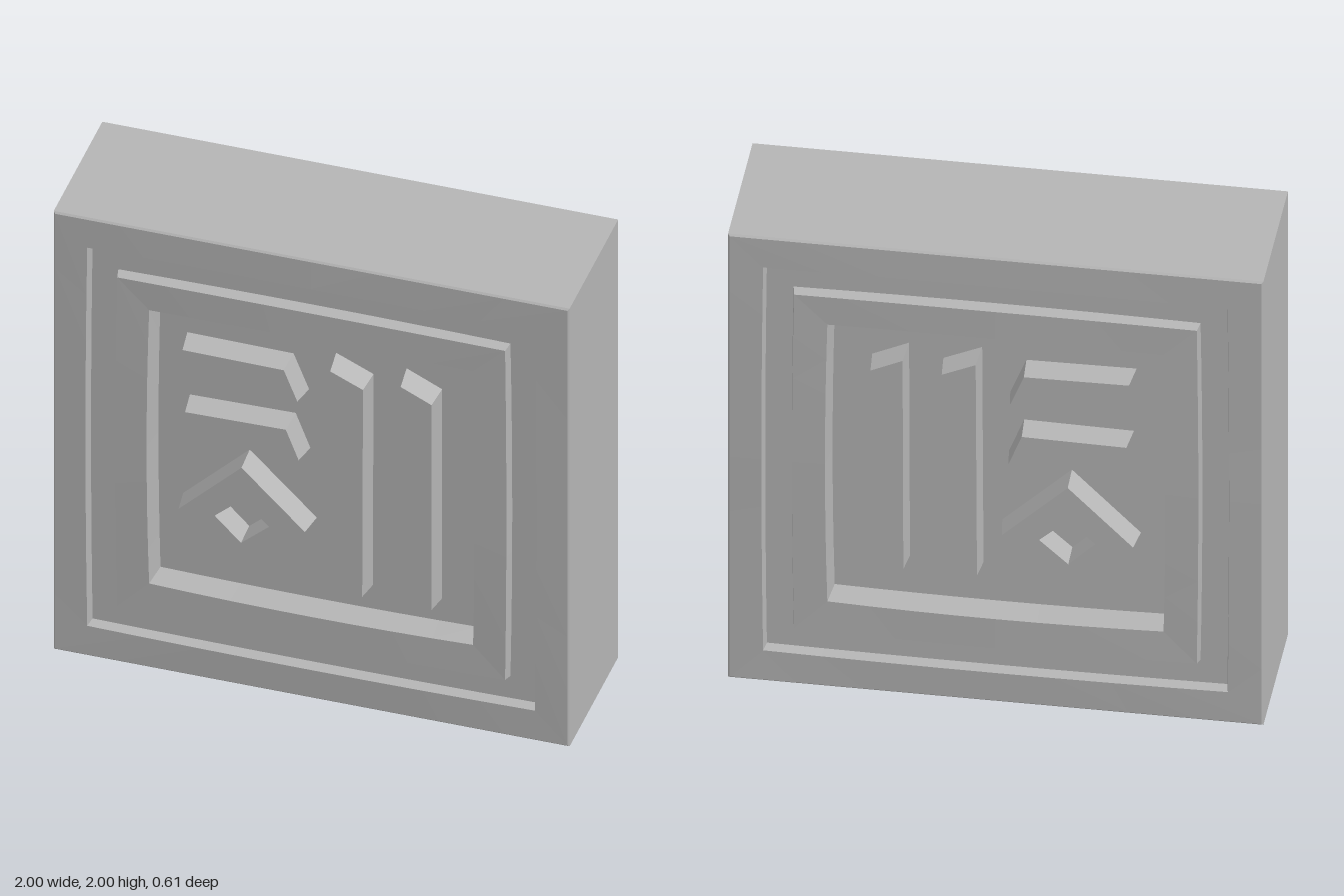
import * as THREE from 'three';

const stone = new THREE.MeshStandardMaterial({ color: 0xb4b4b4 });
stone.name = 'grey stone';

// Upright rectangle, counter-clockwise, with sides bowed outwards
function bowedRect(w, y0, y1, bow = 0, n = 8) {
  const corners = [[-w, y0], [w, y0], [w, y1], [-w, y1]];
  const normals = [[0, -1], [1, 0], [0, 1], [-1, 0]];
  const pts = [];
  corners.forEach((a, k) => {
    const b = corners[(k + 1) % 4];
    for (let i = 0; i < n; i++) {
      const t = i / n, rise = 4 * t * (1 - t);
      pts.push({
        x: a[0] + (b[0] - a[0]) * t + normals[k][0] * bow * rise,
        y: a[1] + (b[1] - a[1]) * t + normals[k][1] * bow * rise,
        rise,
      });
    }
  });
  return pts;
}

const poly = (...p) => p.map(([x, y]) => ({ x, y, rise: 0 }));

// Moves every edge of a convex counter-clockwise polygon inwards by d
function inset(p, d) {
  const n = p.length;
  const dir = (a, b) => {
    const l = Math.hypot(b.x - a.x, b.y - a.y);
    return { x: (b.x - a.x) / l, y: (b.y - a.y) / l };
  };
  return p.map((v, i) => {
    const u = dir(p[(i + n - 1) % n], v), w = dir(v, p[(i + 1) % n]);
    const s = d / (u.x * w.y - u.y * w.x);
    return { x: v.x + (w.x - u.x) * s, y: v.y + (w.y - u.y) * s, rise: 0 };
  });
}

// Joins outlines listed from outside to inside; side -1 mirrors to the back
function relief(name, rings, side, capped) {
  const pos = [];
  const at = (ring, i) => {
    const v = ring.pts[i % ring.pts.length];
    return [v.x, v.y, side * (ring.z + (ring.swell || 0) * v.rise)];
  };
  const tri = (a, b, c) => pos.push(...a, ...(side > 0 ? b : c), ...(side > 0 ? c : b));
  for (let r = 0; r + 1 < rings.length; r++) {
    const A = rings[r], B = rings[r + 1];
    for (let i = 0; i < A.pts.length; i++) {
      tri(at(A, i), at(A, i + 1), at(B, i + 1));
      tri(at(A, i), at(B, i + 1), at(B, i));
    }
  }
  if (capped) {
    const last = rings[rings.length - 1];
    for (let i = 1; i + 1 < last.pts.length; i++) tri(at(last, 0), at(last, i), at(last, i + 1));
  }
  const g = new THREE.BufferGeometry();
  g.setAttribute('position', new THREE.Float32BufferAttribute(pos, 3));
  g.computeVertexNormals();
  const mesh = new THREE.Mesh(g, stone);
  mesh.name = name;
  return mesh;
}

const FACE = 0.3, GROOVE = 0.26, FLOOR = 0.2;

function carvedHalf(side) {
  const half = new THREE.Group();
  half.name = side > 0 ? 'frontCarving' : 'backCarving';

  // Half of the block with a square groove, raised frame and sunken panel
  half.add(relief('block', [
    { pts: bowedRect(1, 0, 2), z: 0 },
    { pts: bowedRect(1, 0, 2), z: FACE - 0.007 },
    { pts: bowedRect(0.993, 0.007, 1.993), z: FACE },
    { pts: bowedRect(0.868, 0.138, 1.866, 0.006), z: FACE, swell: 0.003 },
    { pts: bowedRect(0.86, 0.146, 1.858, 0.006), z: GROOVE },
    { pts: bowedRect(0.76, 0.245, 1.764, 0.007), z: GROOVE },
    { pts: bowedRect(0.752, 0.253, 1.756, 0.007), z: FACE, swell: 0.006 },
    { pts: bowedRect(0.628, 0.385, 1.634, 0.008), z: FACE, swell: 0.006 },
    { pts: bowedRect(0.616, 0.395, 1.624, 0.008), z: FLOOR },
  ], side, true));

  // Slanted bars standing on the panel
  const bars = {
    upperShortBar: poly([-0.455, 1.343], [-0.04, 1.335], [-0.1, 1.485], [-0.512, 1.49]),
    lowerShortBar: poly([-0.45, 1.077], [-0.035, 1.068], [-0.092, 1.215], [-0.502, 1.208]),
    innerLongBar: poly([0.06, 0.555], [0.207, 0.495], [0.21, 1.46], [0.065, 1.525]),
    outerLongBar: poly([0.335, 0.555], [0.476, 0.495], [0.476, 1.45], [0.338, 1.515]),
  };
  for (const [name, base] of Object.entries(bars)) {
    half.add(relief(name, [
      { pts: base, z: FLOOR },
      { pts: inset(base, 0.009), z: FACE },
    ], side, true));
  }

  // Diamond with a diamond-shaped hole
  const diamond = poly([-0.278, 0.488], [-0.01, 0.755], [-0.27, 1.008], [-0.528, 0.752]);
  const hole = poly([-0.272, 0.65], [-0.163, 0.748], [-0.27, 0.846], [-0.374, 0.752]);
  half.add(relief('diamond', [
    { pts: diamond, z: FLOOR },
    { pts: inset(diamond, 0.01), z: FACE },
    { pts: hole, z: FACE },
    { pts: inset(hole, 0.006), z: FLOOR },
  ], side, false));
  return half;
}

export function createModel() {
  const model = new THREE.Group();
  model.name = 'carvedStoneBlock';
  model.add(carvedHalf(1), carvedHalf(-1));
  return model;
}
